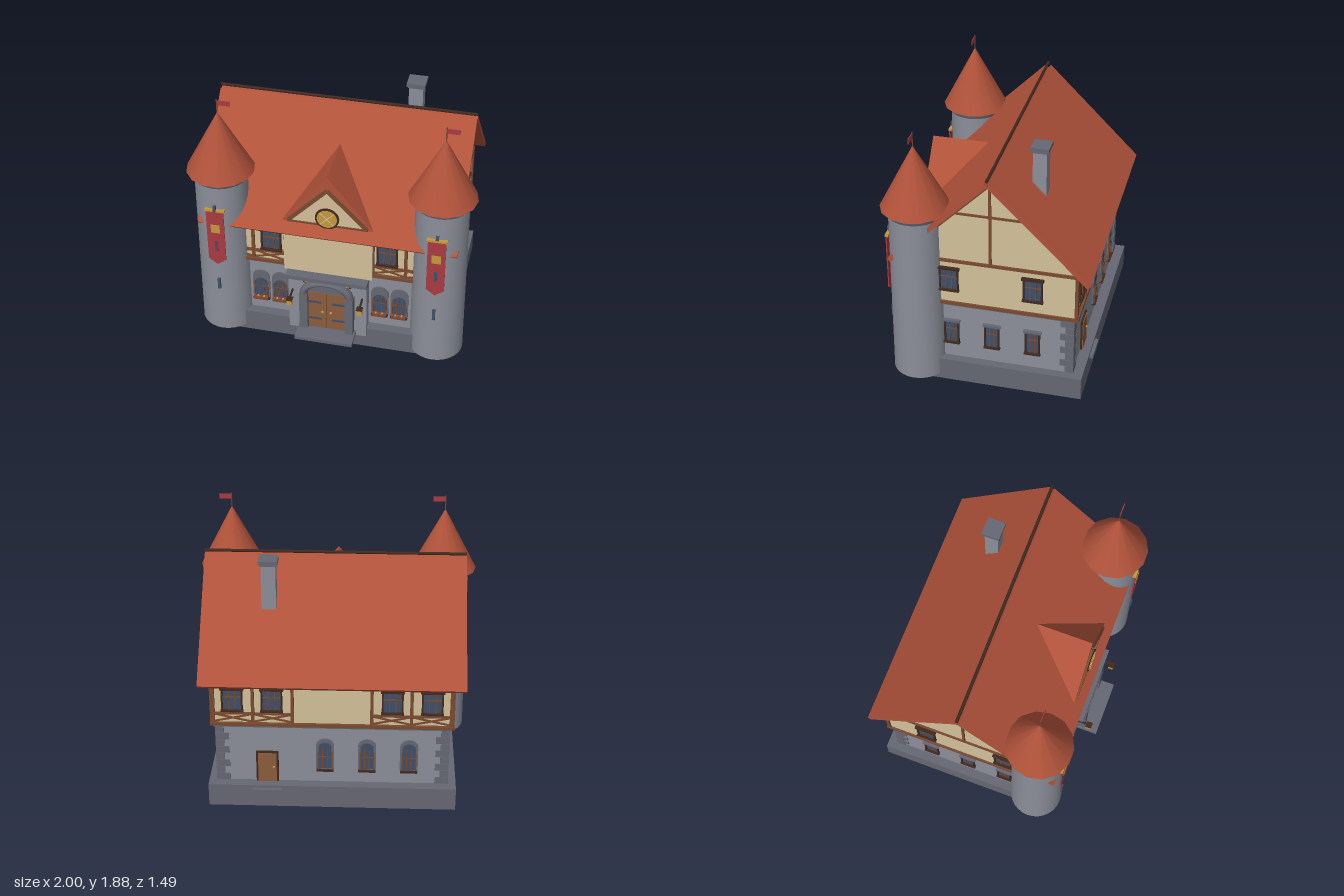
import * as THREE from 'three';

const paint = (name, color) => Object.assign(new THREE.MeshStandardMaterial({ color }), { name });
const M = {
  stone: paint('stone', 0x8b8e99), dark: paint('dark stone', 0x656773),
  plaster: paint('plaster', 0xd2c09a), roof: paint('roof tile', 0xb0523a),
  timber: paint('timber', 0x7a4a30), ebony: paint('dark wood', 0x40291f),
  door: paint('door wood', 0x8a5c3c), glass: paint('glass', 0x404e66),
  gold: paint('gold', 0xc4983a), cloth: paint('red cloth', 0xaa3a42),
};
const CZ = -0.055; // depth of the ridge

function add(parent, name, geo, mat, x = 0, y = 0, z = 0) {
  const m = new THREE.Mesh(geo, mat);
  m.name = name;
  m.position.set(x, y, z);
  parent.add(m);
  return m;
}
// Box given by its extents
function box(parent, name, mat, x0, x1, y0, y1, z0, z1) {
  return add(parent, name, new THREE.BoxGeometry(x1 - x0, y1 - y0, z1 - z0), mat,
    (x0 + x1) / 2, (y0 + y1) / 2, (z0 + z1) / 2);
}
function shapeOf(pts) { return new THREE.Shape(pts.map(p => new THREE.Vector2(p[0], p[1]))); }
// Flat plate in x/y, thickness along +z
function plate(parent, name, mat, shape, z, depth = 0.01) {
  return add(parent, name, new THREE.ExtrudeGeometry(shape, { depth, bevelEnabled: false, curveSegments: 10 }), mat, 0, 0, z);
}
// Profile of [z, y] points extruded along x
function alongX(parent, name, mat, pts, x0, x1) {
  const geo = new THREE.ExtrudeGeometry(shapeOf(pts.map(([z, y]) => [-z, y])), { depth: x1 - x0, bevelEnabled: false });
  return add(parent, name, geo.rotateY(Math.PI / 2), mat, x0);
}
// Beam in x/y from one point to another
function beam(parent, name, mat, x0, y0, x1, y1, z, w = 0.02, d = 0.02) {
  const m = add(parent, name, new THREE.BoxGeometry(Math.hypot(x1 - x0, y1 - y0), w, d), mat, (x0 + x1) / 2, (y0 + y1) / 2, z);
  m.rotation.z = Math.atan2(y1 - y0, x1 - x0);
}
function group(parent, name, x = 0, y = 0, z = 0, turn = 0) {
  const g = new THREE.Group();
  g.name = name;
  g.position.set(x, y, z);
  g.rotation.y = turn;
  parent.add(g);
  return g;
}
// Rectangular window facing +z
function casement(parent, x, y, z, turn, w, h, trim) {
  const g = group(parent, 'window', x, y, z, turn);
  box(g, 'glass', M.glass, -w / 2, w / 2, -h / 2, h / 2, -0.005, 0.004);
  for (const s of [-1, 1]) {
    box(g, 'jamb', M.ebony, s * w / 2 - 0.006, s * w / 2 + 0.006, -h / 2, h / 2, 0, 0.014);
    box(g, 'mullion', M.timber, s * w / 6 - 0.003, s * w / 6 + 0.003, -h / 2, h / 2, 0, 0.009);
  }
  box(g, 'transom', M.timber, -w / 2, w / 2, h * 0.1, h * 0.1 + 0.007, 0, 0.01);
  box(g, 'lintel', trim, -w / 2 - 0.014, w / 2 + 0.014, h / 2 - 0.004, h / 2 + 0.014, 0, 0.022);
  box(g, 'sill', trim === M.dark ? M.ebony : trim, -w / 2 - 0.01, w / 2 + 0.01, -h / 2 - 0.01, -h / 2 + 0.003, 0, 0.022);
}
function archShape(w, y0, spring) {
  const s = new THREE.Shape();
  s.moveTo(-w / 2, y0);
  s.lineTo(w / 2, y0);
  s.lineTo(w / 2, spring);
  s.absarc(0, spring, w / 2, 0, Math.PI, false);
  s.closePath();
  return s;
}
// Arched window facing +z, with optional flower box
function archedWindow(parent, x, z, turn, flowers) {
  const g = group(parent, 'archedWindow', x, 0, z, turn);
  plate(g, 'archSurround', M.dark, archShape(0.125, 0.27, 0.452), 0, 0.009);
  plate(g, 'glass', M.glass, archShape(0.092, 0.28, flowers ? 0.4 : 0.44), 0.008, 0.004);
  for (const s of [-1, 1]) {
    box(g, 'jamb', M.timber, s * 0.048 - 0.004, s * 0.048 + 0.004, 0.275, 0.415, 0, 0.018);
    box(g, 'mullion', M.timber, s * 0.016 - 0.003, s * 0.016 + 0.003, 0.28, 0.44, 0, 0.015);
  }
  box(g, 'transom', M.timber, -0.046, 0.046, 0.37, 0.377, 0, 0.015);
  box(g, 'sill', M.ebony, -0.06, 0.06, 0.258, 0.272, 0, 0.025);
  if (!flowers) return;
  box(g, 'flowerBox', M.timber, -0.052, 0.052, 0.27, 0.288, 0.01, 0.045);
  for (let i = -2; i <= 2; i++)
    add(g, 'flower', new THREE.IcosahedronGeometry(0.009, 0), i % 2 ? M.gold : M.cloth, i * 0.022, 0.292, 0.028);
}

function buildTower(root, side) {
  const g = group(root, 'tower', side * 0.765, 0, 0.47);
  const drum = (name, mat, top, bottom, y0, y1, n = 28) => {
    add(g, name, new THREE.CylinderGeometry(top, bottom, y1 - y0, n), mat, 0, (y0 + y1) / 2, 0).rotation.y = Math.PI / 2;
  };
  drum('towerBody', M.stone, 0.182, 0.19, 0.04, 1.3);
  drum('towerCollar', M.dark, 0.203, 0.19, 1.29, 1.337);
  drum('towerRoof', M.roof, 0, 0.235, 1.335, 1.785, 14);
  drum('flagPole', M.timber, 0.004, 0.004, 1.76, 1.885, 8);
  box(g, 'flag', M.cloth, 0.004, 0.088, 1.84, 1.875, -0.003, 0.003);
  plate(g, 'banner', M.cloth, shapeOf([[-0.062, 1.105], [-0.062, 0.69], [0, 0.642], [0.062, 0.69], [0.062, 1.105]]), 0.189, 0.008);
  box(g, 'bannerRod', M.gold, -0.07, 0.07, 1.1, 1.116, 0.175, 0.2);
  box(g, 'bannerEmblem', M.gold, -0.032, 0.032, 0.922, 0.988, 0.196, 0.201);
  for (const [a, b] of [[1.1, 1.147], [0.765, 0.85], [0.42, 0.51]])
    box(g, 'arrowSlit', M.glass, -0.01, 0.01, a, b, 0.17, 0.2);
}

// Timber bays on a long wall, facing +z
function buildBays(root, z, turn, inner) {
  const g = group(root, 'timberFrame', 0, 0, z, turn);
  box(g, 'topBeam', M.timber, -0.825, 0.825, 0.96, 0.985, -0.01, 0.014);
  box(g, 'footBeam', M.timber, -0.835, 0.835, 0.622, 0.645, -0.01, 0.02);
  for (const s of [-1, 1]) {
    const posts = [inner, 0.54, 0.81];
    for (const p of posts) box(g, 'post', M.timber, s * p - 0.011, s * p + 0.011, 0.64, 0.97, -0.01, 0.014);
    beam(g, 'windowRail', M.timber, s * inner, 0.715, s * 0.81, 0.715, 0, 0.014, 0.024);
    for (let i = 0; i < 2; i++) {
      const a = s * posts[i], b = s * posts[i + 1];
      beam(g, 'brace', M.timber, a, 0.65, b, 0.71, 0, 0.012, 0.018);
      beam(g, 'brace', M.timber, a, 0.71, b, 0.65, 0, 0.012, 0.016);
      casement(g, s * (i ? 0.68 : 0.41), 0.822, 0.002, 0, 0.135, 0.16, M.ebony);
    }
  }
}

function buildGable(root, s) {
  const g = group(root, 'gableSide', s * 0.82, 0, CZ, s * Math.PI / 2);
  box(g, 'footBeam', M.timber, -0.6, 0.6, 0.622, 0.645, -0.01, 0.014);
  box(g, 'tieBeam', M.timber, -0.6, 0.6, 0.965, 0.987, -0.01, 0.012);
  box(g, 'collarBeam', M.timber, -0.27, 0.27, 1.345, 1.36, -0.01, 0.01);
  box(g, 'kingPost', M.timber, -0.009, 0.009, 0.98, 1.6, -0.01, 0.011);
  for (const e of [-1, 1]) {
    box(g, 'cornerPost', M.timber, e * 0.588 - 0.011, e * 0.588 + 0.011, 0.64, 0.97, -0.01, 0.012);
    beam(g, 'rafter', M.timber, 0, 1.6, e * 0.6, 1.0, 0, 0.024, 0.026);
    casement(g, e * 0.29, 0.828, 0.002, 0, 0.125, 0.165, M.ebony);
  }
  for (const x of [-0.285, 0, 0.285]) casement(g, x, 0.378, -0.023, 0, 0.095, 0.175, M.dark);
}

function buildEntrance(root) {
  const g = group(root, 'entrance');
  box(g, 'porchWall', M.stone, -0.28, 0.28, 0.1, 0.59, 0.48, 0.59);
  box(g, 'canopy', M.dark, -0.29, 0.29, 0.582, 0.612, 0.5, 0.645);
  box(g, 'upperBay', M.plaster, -0.312, 0.312, 0.61, 0.99, 0.5, 0.572);
  box(g, 'doorStep', M.dark, -0.207, 0.207, 0.12, 0.145, 0.55, 0.745);
  box(g, 'signBoard', M.ebony, -0.17, 0.17, 0.535, 0.58, 0.58, 0.604);
  box(g, 'signFace', M.gold, -0.158, 0.158, 0.542, 0.574, 0.6, 0.608);
  const arch = add(g, 'doorArch', new THREE.TorusGeometry(0.163, 0.029, 10, 24, Math.PI), M.dark, 0, 0.46, 0.62);
  arch.scale.set(1, 0.65, 1.2);
  const fill = add(g, 'tympanum', new THREE.CircleGeometry(0.163, 24, 0, Math.PI), M.dark, 0, 0.46, 0.61);
  fill.scale.y = 0.65;
  for (const s of [-1, 1]) {
    box(g, 'doorPillar', M.dark, s * 0.163 - 0.03, s * 0.163 + 0.03, 0.145, 0.462, 0.58, 0.645);
    box(g, 'doorLeaf', M.door, s * 0.068 - 0.066, s * 0.068 + 0.066, 0.145, 0.465, 0.585, 0.615);
    for (const y of [0.23, 0.38]) box(g, 'hinge', M.glass, s * 0.085 - 0.045, s * 0.085 + 0.045, y - 0.008, y + 0.008, 0.61, 0.62);
    add(g, 'doorKnob', new THREE.SphereGeometry(0.01, 10, 8), M.gold, s * 0.03, 0.297, 0.62);
    box(g, 'lanternBracket', M.ebony, s * 0.25 - 0.006, s * 0.25 + 0.006, 0.44, 0.452, 0.585, 0.69);
    box(g, 'lantern', M.gold, s * 0.25 - 0.018, s * 0.25 + 0.018, 0.392, 0.435, 0.67, 0.706);
    box(g, 'lanternCap', M.ebony, s * 0.25 - 0.022, s * 0.25 + 0.022, 0.435, 0.442, 0.666, 0.71);
  }
}

function buildDormer(root) {
  const g = group(root, 'dormer');
  plate(g, 'dormerRoof', M.roof, shapeOf([[-0.325, 1.03], [0.325, 1.03], [0, 1.44]]), 0.15, 0.42);
  plate(g, 'dormerFace', M.plaster, shapeOf([[-0.26, 1.05], [0.26, 1.05], [0, 1.325]]), 0.565, 0.009);
  for (const s of [-1, 1]) beam(g, 'dormerRafter', M.timber, s * 0.275, 1.048, 0, 1.335, 0.573, 0.026, 0.018);
  beam(g, 'dormerSill', M.timber, -0.28, 1.046, 0.28, 1.046, 0.572, 0.014, 0.016);
  const disc = (name, r, mat, z) => add(g, name, new THREE.CylinderGeometry(r, r, 0.008, 28), mat, 0, 1.105, z).rotation.x = Math.PI / 2;
  disc('roundFrame', 0.084, M.ebony, 0.58);
  disc('roundGlass', 0.07, M.gold, 0.584);
  for (const a of [Math.PI / 4, -Math.PI / 4]) {
    const c = 0.068 * Math.cos(a), d = 0.068 * Math.sin(a);
    beam(g, 'glazingBar', M.plaster, -c, 1.105 - d, c, 1.105 + d, 0.588, 0.006, 0.006);
  }
}

export function createModel() {
  const root = new THREE.Group();
  root.name = 'gatehouse';

  // Walls
  box(root, 'plinth', M.dark, -0.86, 0.86, 0, 0.167, -0.695, 0.58);
  box(root, 'stoneStorey', M.stone, -0.797, 0.797, 0.16, 0.62, -0.62, 0.51);
  box(root, 'stoneBand', M.dark, -0.815, 0.815, 0.603, 0.623, -0.64, 0.53);
  alongX(root, 'upperStorey', M.plaster, [[0.53, 0.62], [0.53, 1.03], [CZ, 1.612], [-0.64, 1.03], [-0.64, 0.62]], -0.82, 0.82);
  buildBays(root, 0.53, 0, 0.31);
  buildBays(root, -0.64, Math.PI, 0.27);

  // Roof slabs, ridge and chimney
  for (const s of [-1, 1]) {
    const pts = [[0, 1.62], [0.67, 0.95], [0.691, 0.972], [0.019, 1.645]].map(([z, y]) => [CZ + s * z, y]);
    alongX(root, 'roofSlope', M.roof, pts, -0.9, 0.9);
  }
  add(root, 'ridgePole', new THREE.CylinderGeometry(0.011, 0.011, 1.8, 8).rotateZ(Math.PI / 2), M.ebony, 0, 1.664, CZ);
  box(root, 'chimney', M.stone, 0.39, 0.49, 1.25, 1.69, -0.355, -0.26);
  box(root, 'chimneyCap', M.dark, 0.375, 0.505, 1.695, 1.722, -0.372, -0.245);
  box(root, 'chimneyNeck', M.dark, 0.385, 0.495, 1.68, 1.7, -0.36, -0.255);

  for (const s of [-1, 1]) {
    buildTower(root, s);
    buildGable(root, s);
    // Corner stones at the back
    for (let i = 0; i < 8; i++) {
      const l = i % 2 ? 0.095 : 0.06, k = i % 2 ? 0.06 : 0.095, y = 0.17 + i * 0.054;
      box(root, 'cornerStone', M.dark, s * 0.806 - (s > 0 ? k : 0), s * 0.806 + (s > 0 ? 0 : k), y, y + 0.05, -0.628, -0.628 + l);
    }
    // Paired front windows
    for (const x of [0.36, 0.5]) archedWindow(root, s * x, 0.51, 0, true);
  }
  buildEntrance(root);
  buildDormer(root);

  // Back wall openings
  for (const x of [0.05, -0.24, -0.53]) archedWindow(root, x, -0.62, Math.PI, false);
  const back = group(root, 'backDoor', 0.45, 0, -0.62, Math.PI);
  box(back, 'doorFrame', M.ebony, -0.078, 0.078, 0.165, 0.405, -0.01, 0.012);
  box(back, 'doorLeaf', M.door, -0.064, 0.064, 0.165, 0.392, 0, 0.018);
  add(back, 'doorKnob', new THREE.SphereGeometry(0.009, 8, 6), M.gold, 0.045, 0.285, 0.02);
  box(back, 'backStep', M.dark, -0.1, 0.1, 0.12, 0.147, 0.02, 0.1);
  return root;
}
